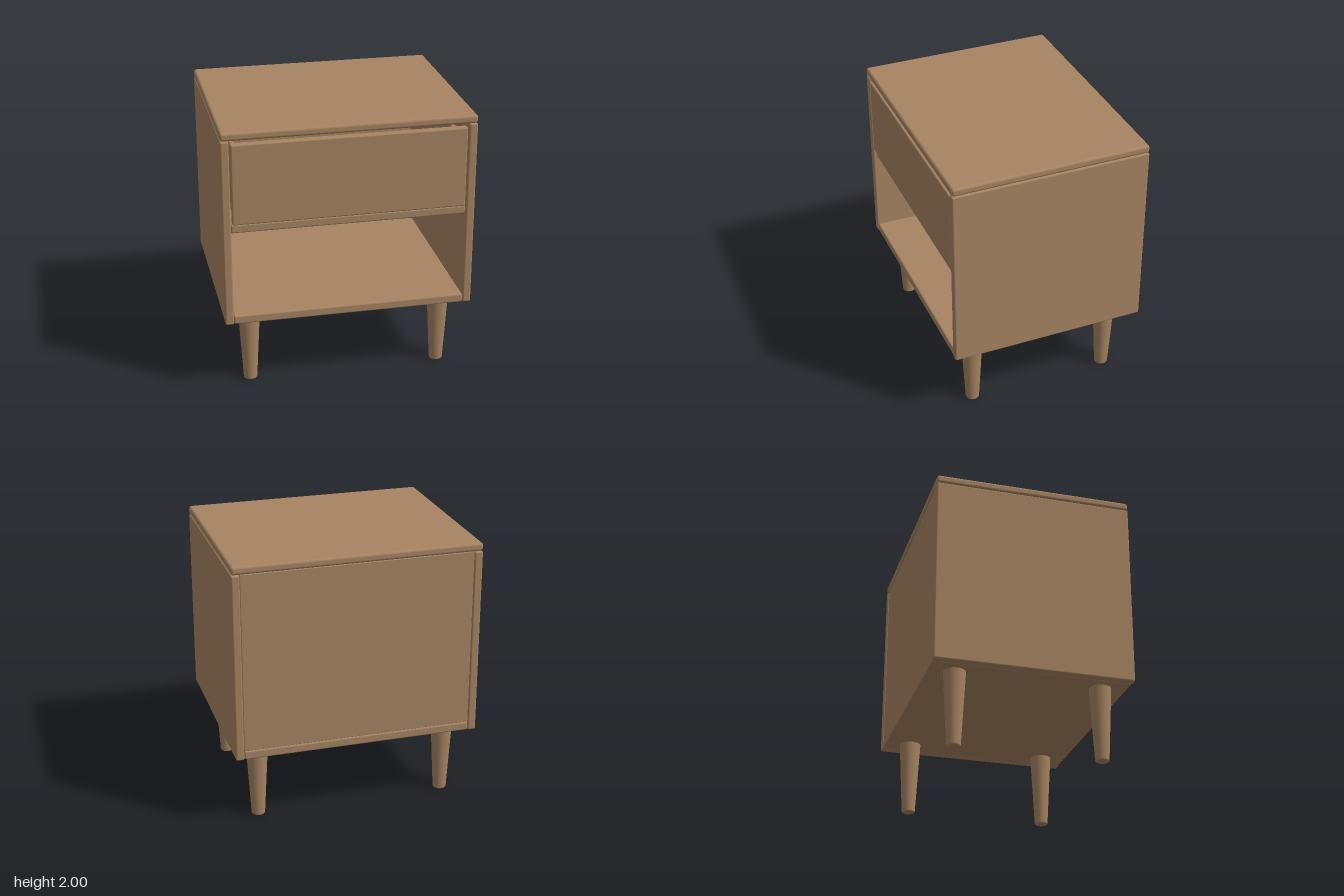
import * as THREE from 'three';
import { RoundedBoxGeometry } from 'three/addons/geometries/RoundedBoxGeometry.js';

export function createModel() {
  const group = new THREE.Group();
  group.name = 'nightstand';
  const wood = new THREE.MeshStandardMaterial({ color: 0xa68462 });
  wood.name = 'wood';

  // Rounded board given by its extents on each axis
  function board(name, [x0, x1], [y0, y1], [z0, z1], radius, parent = group) {
    const geometry = new RoundedBoxGeometry(x1 - x0, y1 - y0, z1 - z0, 3, radius);
    const mesh = new THREE.Mesh(geometry, wood);
    mesh.name = name;
    mesh.position.set((x0 + x1) / 2, (y0 + y1) / 2, (z0 + z1) / 2);
    parent.add(mesh);
    return mesh;
  }

  // Carcass
  board('topPanel', [-0.905, 0.905], [1.94, 2], [-0.725, 0.725], 0.02);
  board('leftSidePanel', [0.845, 0.905], [0.55, 1.938], [-0.725, 0.725], 0.012);
  board('rightSidePanel', [-0.905, -0.845], [0.55, 1.938], [-0.725, 0.725], 0.012);
  board('bottomPanel', [-0.843, 0.843], [0.55, 0.615], [-0.72, 0.72], 0.012);
  board('shelf', [-0.843, 0.843], [1.25, 1.313], [-0.69, 0.7], 0.012);
  board('backPanel', [-0.843, 0.843], [0.615, 1.938], [-0.715, -0.685], 0.004);

  // Drawer: front board with an open box behind it
  const drawer = new THREE.Group();
  drawer.name = 'drawer';
  group.add(drawer);
  board('drawerFront', [-0.835, 0.835], [1.318, 1.912], [0.665, 0.722], 0.012, drawer);
  board('drawerBase', [-0.81, 0.81], [1.33, 1.36], [-0.62, 0.67], 0.003, drawer);
  board('drawerBack', [-0.81, 0.81], [1.36, 1.85], [-0.62, -0.59], 0.003, drawer);
  for (const s of [-1, 1]) {
    const side = board('drawerSide', [-0.015, 0.015], [1.36, 1.85], [-0.59, 0.67], 0.003, drawer);
    side.position.x = s * 0.795;
  }

  // Tapered round legs with softened feet
  const profile = [[0, 0], [0.042, 0], [0.047, 0.003], [0.05, 0.01], [0.08, 0.552], [0, 0.552]];
  const points = [];
  profile.forEach(([r, y], i) => {
    points.push(new THREE.Vector2(r, y));
    // Doubled rings keep the end caps flat
    if (i === 1 || i === 4) points.push(new THREE.Vector2(r, y + 0.0002));
  });
  const legGeometry = new THREE.LatheGeometry(points, 32);
  for (const x of [-0.71, 0.71]) {
    for (const z of [-0.53, 0.53]) {
      const leg = new THREE.Mesh(legGeometry, wood);
      leg.name = (z > 0 ? 'front' : 'back') + (x > 0 ? 'Left' : 'Right') + 'Leg';
      leg.position.set(x, 0, z);
      group.add(leg);
    }
  }
  return group;
}
